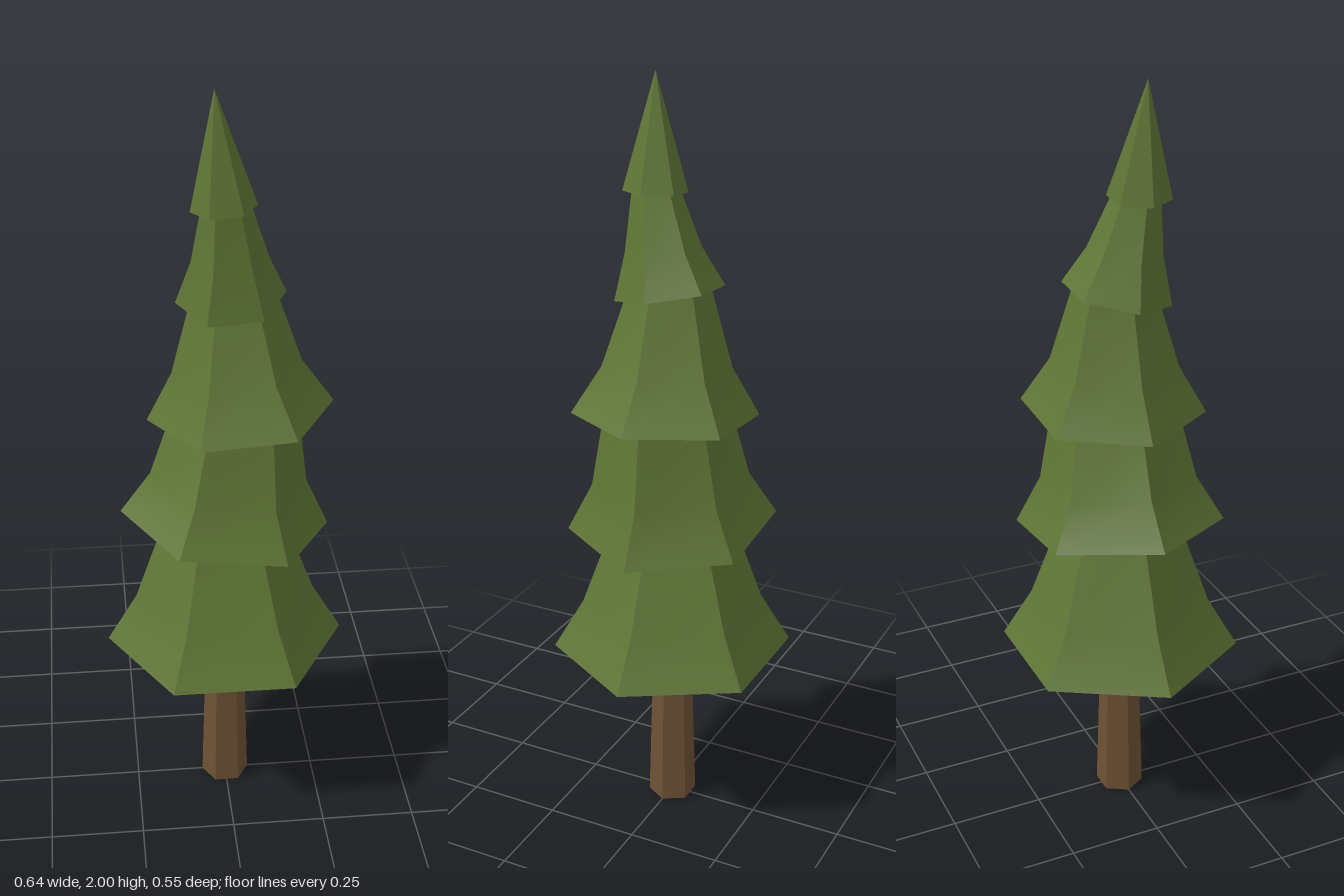
import * as THREE from 'three';

const SIDES = 6;

// A ring is [centre x, centre y, centre z, radius, tilt along x, tilt along z]
function ringPoint([x, y, z, r, tx = 0, tz = 0], i) {
  const a = (i / SIDES) * Math.PI * 2;
  const dx = Math.cos(a) * r, dz = Math.sin(a) * r;
  return [x + dx, y + tx * dx + tz * dz, z + dz];
}

// Skins rings into six panels: smooth up each panel, sharp between panels
function loft(rings, material, name) {
  const pos = [], index = [];
  for (let i = 0; i < SIDES; i++) {
    const base = pos.length / 3;
    rings.forEach((ring) => pos.push(...ringPoint(ring, i), ...ringPoint(ring, i + 1)));
    for (let k = 0; k < rings.length - 1; k++) {
      const a = base + k * 2, b = a + 1, d = a + 2, c = a + 3;
      if (rings[k][3] > 0) index.push(a, d, b);
      if (rings[k + 1][3] > 0) index.push(b, d, c);
    }
  }
  const geo = new THREE.BufferGeometry();
  geo.setAttribute('position', new THREE.Float32BufferAttribute(pos, 3));
  geo.setIndex(index);
  geo.computeVertexNormals();
  const mesh = new THREE.Mesh(geo, material);
  mesh.name = name;
  return mesh;
}

export function createModel() {
  const tree = new THREE.Group();
  tree.name = 'pineTree';
  const bark = new THREE.MeshStandardMaterial({ color: 0x6e5235 });
  const needles = new THREE.MeshStandardMaterial({ color: 0x5f7535 });

  // Trunk, with its base closed
  const trunkFoot = [0, 0, 0, 0.065], trunkTop = [0, 0.45, 0, 0.052];
  tree.add(loft([trunkFoot, trunkTop], bark, 'trunk'));
  tree.add(loft([[0, 0, 0, 0], trunkFoot], bark, 'trunkBase'));

  // Foliage tiers, each from its rim through the flare to its neck
  const tiers = [
    [[0, 0.475, 0, 0.32], [0, 0.61, 0, 0.24], [0, 0.93, 0, 0.125, -0.1]],
    [[0, 0.843, 0, 0.275, -0.12], [0.01, 0.965, 0, 0.205, -0.1], [0.03, 1.21, 0, 0.152, 0.07]],
    [[0.04, 1.157, 0, 0.24, 0.07], [0.03, 1.28, 0, 0.165, 0.07], [0.02, 1.5, 0, 0.098, 0.07, -0.15]],
    [[0.015, 1.468, 0, 0.138, 0.07, -0.19], [0.01, 1.575, 0.02, 0.095, 0.05, -0.1], [-0.004, 1.745, 0.05, 0.053, 0.05]],
    [[-0.007, 1.713, 0.05, 0.081, 0.08], [-0.03, 2, 0.06, 0]],
  ];
  // Each underside reaches from the neck below out to the tier's rim
  let neck = [0, 0.435, 0, 0.05];
  tiers.forEach((rings, n) => {
    tree.add(loft([neck, rings[0]], needles, `tierUnderside${n + 1}`));
    tree.add(loft(rings, needles, `foliageTier${n + 1}`));
    neck = rings[rings.length - 1];
  });
  return tree;
}
